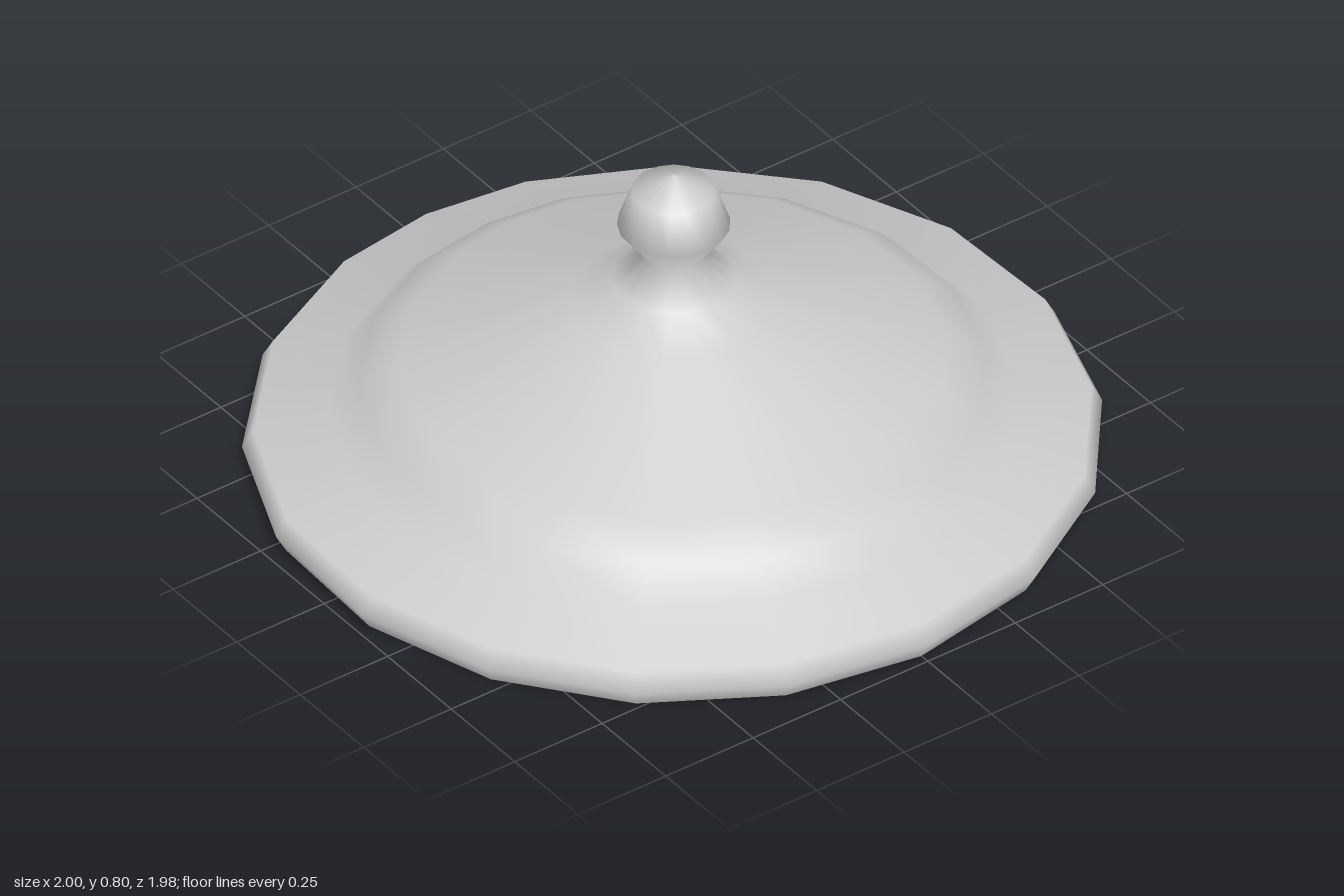
import * as THREE from 'three';

const SIDES = 18;
const STEP = THREE.MathUtils.degToRad(20.57); // side angle; the last two sides at -x are narrower

// Angle of side i, measured from +x, mirrored across the x axis
function sideAngle(i) {
  if (i === SIDES / 2) return Math.PI;
  return i < SIDES / 2 ? i * STEP : 2 * Math.PI - (SIDES - i) * STEP;
}

// Turned part whose columns are rotated to the slightly uneven side angles
function turned(name, profile, material) {
  const points = profile.map(([r, y]) => new THREE.Vector2(r, y));
  const geometry = new THREE.LatheGeometry(points, SIDES, Math.PI / 2);
  const up = new THREE.Vector3(0, 1, 0);
  const v = new THREE.Vector3();
  for (const attribute of [geometry.attributes.position, geometry.attributes.normal]) {
    for (let k = 0; k < attribute.count; k++) {
      const i = Math.floor(k / points.length);
      const turn = sideAngle(i) - (i * 2 * Math.PI) / SIDES;
      v.fromBufferAttribute(attribute, k).applyAxisAngle(up, turn);
      attribute.setXYZ(k, v.x, v.y, v.z);
    }
  }
  const mesh = new THREE.Mesh(geometry, material);
  mesh.name = name;
  return mesh;
}

export function createModel() {
  const group = new THREE.Group();
  group.name = 'lid';
  const material = new THREE.MeshStandardMaterial({ color: 0xcccccc });

  // Rim, step, domed cover, narrow neck and knob in one smooth profile
  group.add(turned('coverAndKnob', [
    [0.975, 0], [1, 0.045], [0.975, 0.09], [0.8, 0.14], [0.73, 0.215],
    [0.64, 0.275], [0.24, 0.445], [0.145, 0.505], [0.07, 0.575],
    [0.132, 0.66], [0.098, 0.755], [0, 0.8],
  ], material));

  // Nearly flat underside with a hollow in the middle
  group.add(turned('underside', [
    [0, 0.29], [0.13, 0.26], [0.3, 0.17], [0.45, 0.09],
    [0.57, 0.03], [0.8, 0.01], [0.975, 0],
  ], material));

  return group;
}
